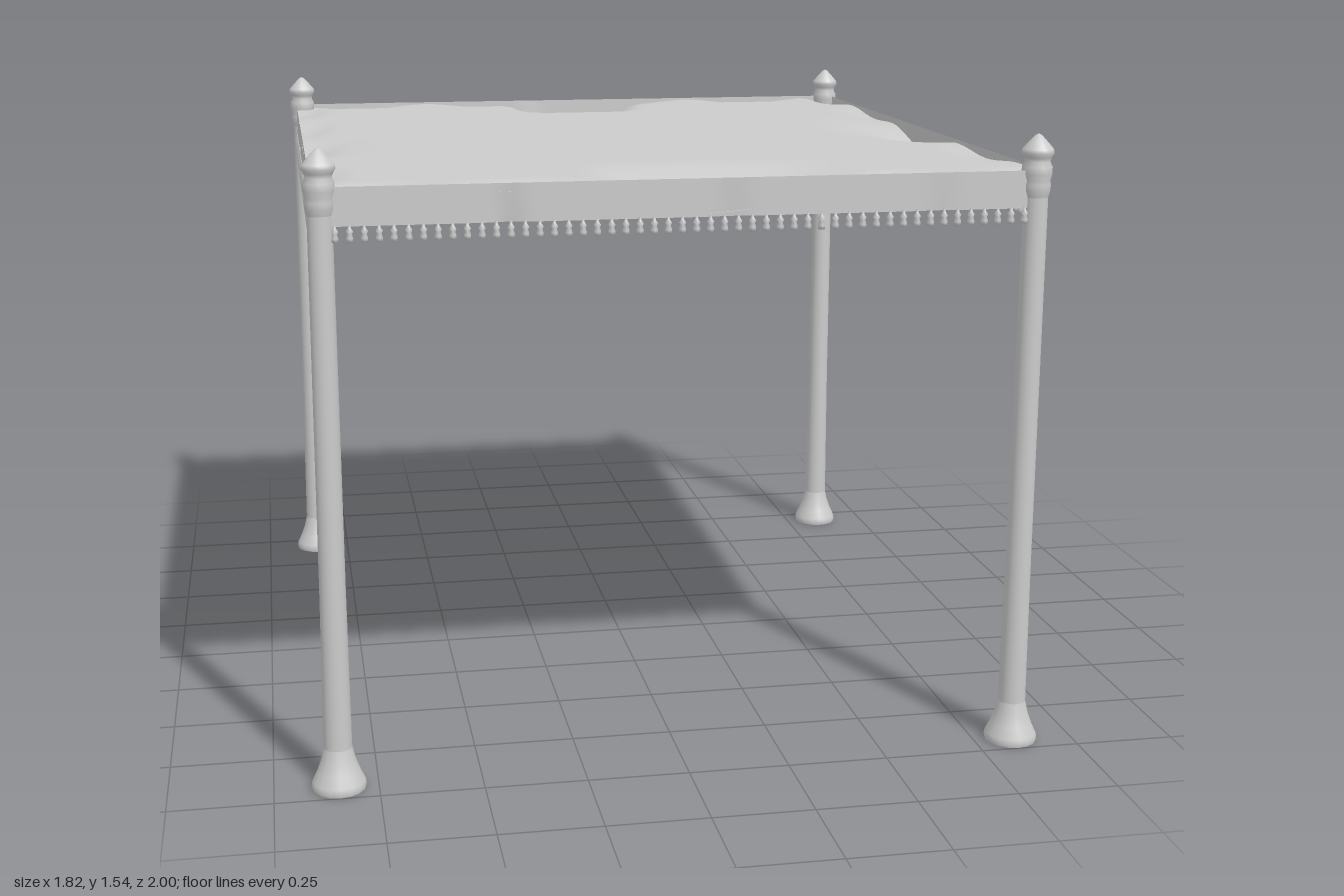
import * as THREE from 'three';

const X = 0.845, Z = 0.935;       // post centres
const HX = 0.863, HZ = 0.948;     // outer faces of the cloth
const TOP = 1.45, HEM = 1.36;

const metal = new THREE.MeshStandardMaterial({ color: 0xcccccc });
const cloth = new THREE.MeshStandardMaterial({ color: 0xcccccc, side: THREE.DoubleSide });

const smooth = (a, b, v) => THREE.MathUtils.smoothstep(v, a, b);
const bump = (v, centre, width) => Math.exp(-(((v - centre) / width) ** 2));

function lathe(points, sides) {
  return new THREE.LatheGeometry(points.map(([r, y]) => new THREE.Vector2(r, y)), sides);
}

function add(parent, name, geometry, material) {
  const mesh = new THREE.Mesh(geometry, material);
  mesh.name = name;
  parent.add(mesh);
  return mesh;
}

// Post with flared foot, shaft and pointed finial
function createPost() {
  const post = new THREE.Group();
  post.name = 'post';
  add(post, 'foot', lathe([[0, 0], [0.064, 0], [0.064, 0], [0.066, 0.008], [0.064, 0.02],
    [0.052, 0.045], [0.041, 0.075], [0.034, 0.105]], 16), metal);
  add(post, 'shaft', lathe([[0.034, 0.105], [0.031, 0.5], [0.029, 1.39]], 16), metal);
  add(post, 'finial', lathe([[0.029, 1.385], [0.033, 1.4], [0.034, 1.415], [0.032, 1.425],
    [0.036, 1.44], [0.036, 1.458], [0.03, 1.47], [0.033, 1.48], [0.039, 1.49], [0.037, 1.5],
    [0.022, 1.517], [0.008, 1.532], [0, 1.536]], 16), metal);
  return post;
}

// Cloth roof, nearly flat, sagging along parts of its edges
function roofGeometry() {
  const g = new THREE.PlaneGeometry(2 * HX, 2 * HZ, 70, 76).rotateX(-Math.PI / 2);
  const p = g.attributes.position;
  for (let i = 0; i < p.count; i++) {
    const x = p.getX(i), z = p.getZ(i);
    let y = TOP - 0.006;
    const backDip = 1 - smooth(0.08, 0.22, Math.abs(x));
    y -= 0.075 * backDip * smooth(0.6, 0.95, -z);
    const frontDip = smooth(-0.22, -0.08, x) * (1 - smooth(0.2, 0.48, x));
    y -= 0.06 * frontDip * smooth(0.58, 0.95, z);
    y -= 0.04 * bump(z, 0, 0.2) * smooth(0.58, HX, x);
    y -= 0.015 * bump(z, 0.05, 0.2) * smooth(0.65, HX, -x);
    // small puckers near the hems
    const rimX = smooth(0.76, 0.84, Math.abs(x)), rimZ = smooth(0.84, 0.92, Math.abs(z));
    y -= 0.008 * rimX * (1 + Math.sin(z * 13 + x)) + 0.008 * rimZ * (1 + Math.sin(x * 15 + z));
    p.setY(i, y);
  }
  g.computeVertexNormals();
  return g;
}

// Hanging cloth band with a few shallow folds
function valanceGeometry(length, phase) {
  const g = new THREE.PlaneGeometry(length, TOP - HEM, 90, 4);
  const p = g.attributes.position;
  for (let i = 0; i < p.count; i++) {
    const x = p.getX(i), low = 0.5 - p.getY(i) / (TOP - HEM);
    const fold = bump(x, -0.42 + phase, 0.03) + 0.6 * bump(x, 0.1 + phase, 0.04) + 0.5 * bump(x, 0.6 - phase, 0.04);
    p.setZ(i, -0.01 * fold * low);
  }
  g.computeVertexNormals();
  return g;
}

export function createModel() {
  const model = new THREE.Group();
  model.name = 'canopy';

  for (const sx of [-1, 1]) for (const sz of [-1, 1]) {
    const post = createPost();
    post.position.set(sx * X, 0, sz * Z);
    model.add(post);
  }

  add(model, 'roofCloth', roofGeometry(), cloth);

  // Tassel: cord, knot and skirt
  const tassel = lathe([[0.003, 0.004], [0.004, -0.004], [0.009, -0.011], [0.006, -0.017],
    [0.009, -0.027], [0.008, -0.036], [0, -0.036]].reverse(), 6);

  // Four sides, each with a valance and a tassel fringe
  const sides = [
    ['front', 0, HX, HZ, 0], ['left', Math.PI / 2, HZ, HX, 0.06],
    ['back', Math.PI, HX, HZ, 0.03], ['right', -Math.PI / 2, HZ, HX, -0.08],
  ];
  for (const [name, turn, half, out, phase] of sides) {
    const side = new THREE.Group();
    side.name = name + 'Side';
    side.rotation.y = turn;
    const band = add(side, 'valance', valanceGeometry(2 * half, phase), cloth);
    band.position.set(0, (TOP + HEM) / 2, out);
    const span = 2 * (half - 0.05), count = Math.round(span / 0.033);
    for (let i = 0; i <= count; i++) {
      add(side, 'tassel', tassel, metal).position.set(-span / 2 + (i * span) / count, HEM, out);
    }
    model.add(side);
  }
  return model;
}
